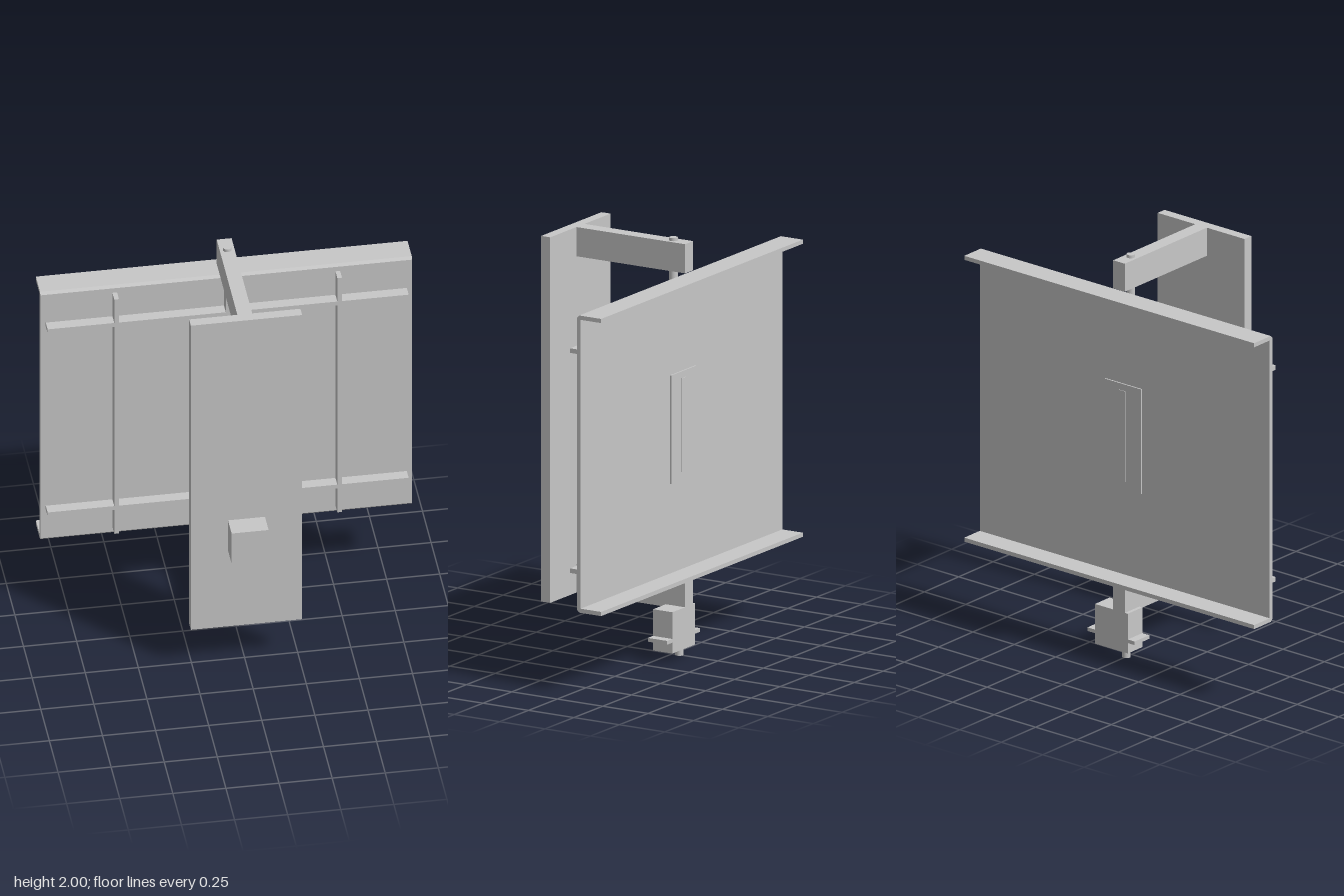
import * as THREE from 'three';

export function createModel() {
  const model = new THREE.Group();
  const grey = new THREE.MeshStandardMaterial({ color: 0xc7c7c7 });
  grey.name = 'light grey';

  const add = (name, geometry) => {
    const mesh = new THREE.Mesh(geometry, grey);
    mesh.name = name;
    model.add(mesh);
    return mesh;
  };
  // Box given by its limits on each axis
  const box = (name, [x0, x1], [y0, y1], [z0, z1]) =>
    add(name, new THREE.BoxGeometry(x1 - x0, y1 - y0, z1 - z0))
      .position.set((x0 + x1) / 2, (y0 + y1) / 2, (z0 + z1) / 2);
  // Upright round rod on the centre line
  const rod = (name, y0, y1, z, r = 0.02) =>
    add(name, new THREE.CylinderGeometry(r, r, y1 - y0, 24)).position.set(0, (y0 + y1) / 2, z);

  // Fixed bracket: upright plate, two arms and a control box
  box('mountingPlate', [-0.262, 0.262], [0.231, 1.985], [0.257, 0.307]);
  box('upperArm', [-0.035, 0.035], [1.845, 1.985], [-0.341, 0.257]);
  box('lowerArm', [-0.035, 0.035], [0.231, 0.368], [-0.341, 0.257]);
  box('controlBox', [-0.087, 0.087], [0.668, 0.842], [0.307, 0.412]);

  // Pivot pins
  rod('upperPivot', 1.78, 2, -0.255);
  rod('lowerPivot', 0.215, 0.432, -0.255);

  // Frame bars on the front of the panel
  for (const x of [-0.525, 0, 0.525]) {
    box('verticalBar', [x - 0.011, x + 0.011], [0.431, 1.782], [-0.279, -0.225]);
  }
  for (const y of [0.58, 1.636]) {
    box('horizontalBar', [-0.85, 0.85], [y - 0.011, y + 0.011], [-0.279, -0.225]);
  }

  // Channel-shaped panel: folded sheet with small chamfers on the outer bends
  const front = -0.279, inner = -0.299, back = -0.412, low = 0.393, high = 1.819, t = 0.02, c = 0.012;
  const profile = new THREE.Shape([
    [back, low], [front - c, low], [front, low + c], [front, high - c], [front - c, high], [back, high],
    [back, high - t], [inner, high - t], [inner, low + t], [back, low + t],
  ].map(([z, y]) => new THREE.Vector2(z, y)));
  const sheet = new THREE.ExtrudeGeometry(profile, { depth: 1.75, bevelEnabled: false });
  sheet.rotateY(-Math.PI / 2).translate(0.875, 0, 0);
  add('panel', sheet);

  // Cover plate with a slightly raised strip on the back
  box('coverPlate', [-0.11, 0.11], [0.846, 1.368], [-0.313, -0.306]);
  box('coverStrip', [-0.02, 0.02], [0.885, 1.335], [-0.316, -0.313]);

  // Drive motor with mounting ears and output shaft
  box('motor', [-0.053, 0.145], [0.045, 0.243], [-0.341, -0.235]);
  for (const [x0, x1] of [[-0.095, -0.053], [0.145, 0.19]]) {
    box('motorEar', [x0, x1], [0.097, 0.115], [-0.341, -0.235]);
  }
  rod('motorShaft', 0, 0.045, -0.287);

  return model;
}
